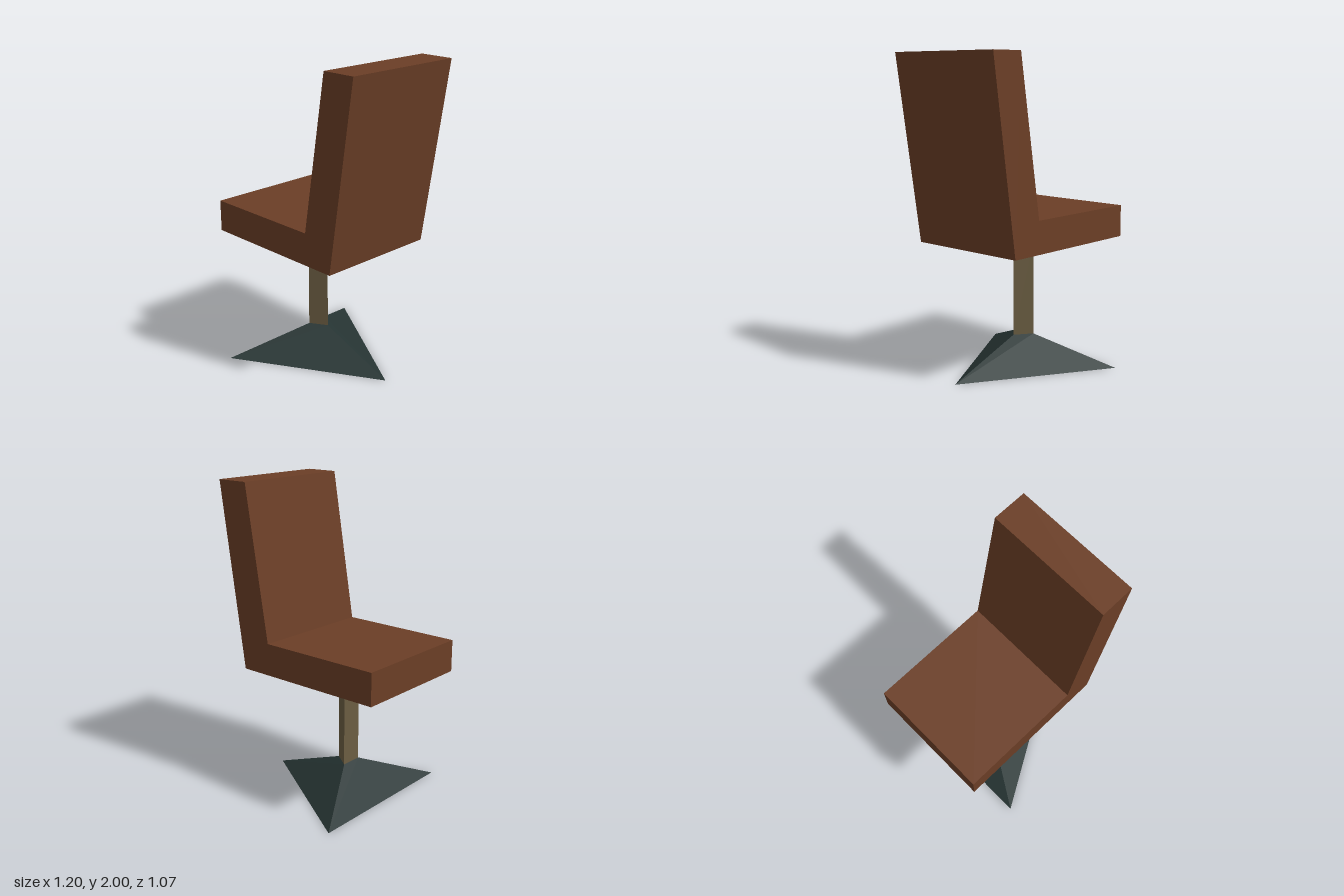
import * as THREE from 'three';

const flat = (color, name) =>
  new THREE.MeshStandardMaterial({ color, name, side: THREE.DoubleSide, flatShading: true });

// Flat quads joining two rings of [x, y, z] points
function strip(a, b, closed) {
  const pos = [];
  const n = a.length;
  for (let i = 0; i < (closed ? n : n - 1); i++) {
    const j = (i + 1) % n;
    pos.push(...a[i], ...a[j], ...b[j], ...a[i], ...b[j], ...b[i]);
  }
  const g = new THREE.BufferGeometry();
  g.setAttribute('position', new THREE.Float32BufferAttribute(pos, 3));
  g.computeVertexNormals();
  return g;
}

// Triangle pointing towards +x at height y
const triangle = (tip, back, half, y) =>
  [[tip, y, 0.005], [back, y, -half], [back, y, half]];

export function createModel() {
  const group = new THREE.Group();
  const upholstery = flat(0x6b3e26, 'brown upholstery');
  const postMat = flat(0x6b5d42, 'tan metal');
  const baseMat = flat(0x263433, 'dark base');

  const add = (parent, geometry, material, name) => {
    const mesh = new THREE.Mesh(geometry, material);
    mesh.name = name;
    parent.add(mesh);
    return mesh;
  };

  // Seat and backrest: an L-shaped shell, open underneath
  const seat = new THREE.Group();
  seat.name = 'seat';
  group.add(seat);
  const profile = [[0.42, 0.82], [0.597, 2], [0.375, 2], [0.215, 1.025], [-0.6, 1.025], [-0.6, 0.82]];
  const halfWidth = 0.406;
  const ring = z => profile.map(([x, y]) => [x, y, z]);
  add(seat, strip(ring(-halfWidth), ring(halfWidth), false), upholstery, 'seatCover');

  const side = new THREE.ShapeGeometry(new THREE.Shape(profile.map(p => new THREE.Vector2(...p))));
  add(seat, side, upholstery, 'frontSide').position.z = halfWidth;
  const rear = side.clone();
  const index = Array.from(rear.index.array).reverse(); // face the other way
  rear.setIndex(index);
  rear.computeVertexNormals();
  add(seat, rear, upholstery, 'rearSide').position.z = -halfWidth;

  // Three-sided post, open at both ends
  const low = triangle(-0.01, -0.12, 0.071, 0.195);
  const high = triangle(-0.01, -0.12, 0.071, 0.82);
  add(group, strip(low, high, true), postMat, 'post');

  // Three-sided flared foot, open underneath
  add(group, strip(triangle(0.515, -0.392, 0.535, 0), low, true), baseMat, 'base');

  return group;
}
